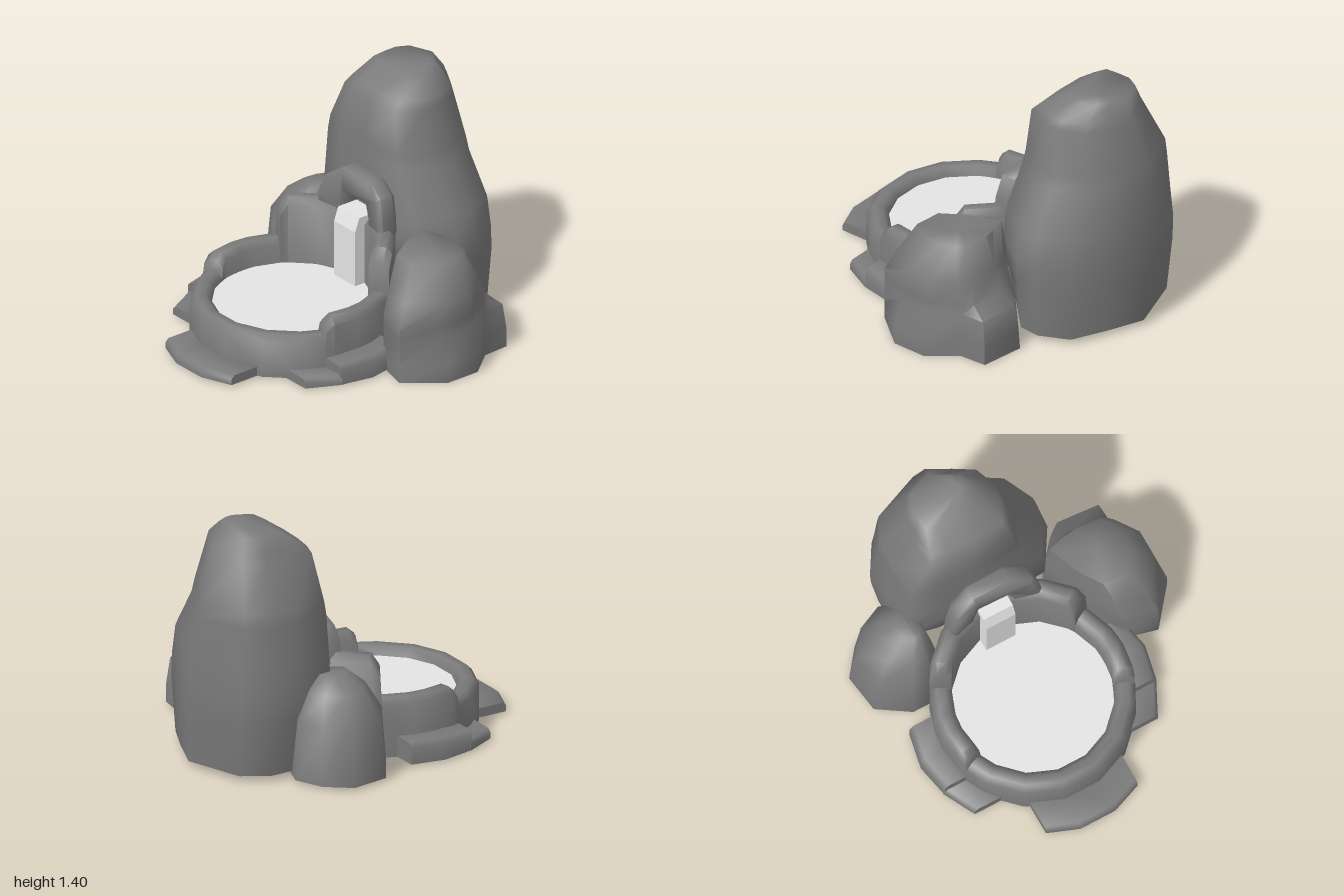
import * as THREE from 'three';
import { toCreasedNormals } from 'three/addons/utils/BufferGeometryUtils.js';

const CX = -0.11, CZ = 0.26; // basin centre

// Skin a list of cross-sections (arrays of [x, y, z]); wrap closes each one, caps fill the ends.
function loft(rings, { wrap = false, capStart = false, capEnd = false, crease = 1 } = {}) {
  const n = rings[0].length, pos = rings.flat(2), index = [];
  const cols = wrap ? n : n - 1;
  for (let i = 0; i < rings.length - 1; i++) {
    for (let j = 0; j < cols; j++) {
      const k = (j + 1) % n;
      const a = i * n + j, b = i * n + k, c = b + n, d = a + n;
      index.push(a, b, c, a, c, d);
    }
  }
  const cap = (r, flip) => {
    const centre = pos.length / 3, o = r * n;
    for (let k = 0; k < 3; k++) pos.push(rings[r].reduce((s, p) => s + p[k], 0) / n);
    for (let j = 0; j < n; j++) {
      const a = o + j, b = o + (j + 1) % n;
      index.push(centre, flip ? b : a, flip ? a : b);
    }
  };
  if (capStart) cap(0, true);
  if (capEnd) cap(rings.length - 1, false);
  const g = new THREE.BufferGeometry();
  g.setAttribute('position', new THREE.Float32BufferAttribute(pos, 3));
  g.setIndex(index);
  return toCreasedNormals(g, crease);
}

// Boulder skin: closed outlines stacked upward, open below.
const boulderSkin = rings => loft(rings, { wrap: true, capEnd: true, crease: 1.25 });

// Boulder: a footprint rescaled to [y, xMin, xMax, zMin, zMax] at each level.
// frontLift raises the lower edge of the front side, which rests on the basin.
function boulder(foot, levels, frontLift = 0) {
  const xs = foot.map(p => p[0]), zs = foot.map(p => p[1]);
  const x0 = Math.min(...xs), x1 = Math.max(...xs), z0 = Math.min(...zs), z1 = Math.max(...zs);
  return boulderSkin(levels.map(([y, a, b, c, d]) => foot.map(([x, z]) => {
    const v = (z - z0) / (z1 - z0);
    return [a + (b - a) * (x - x0) / (x1 - x0), v > 0.75 ? Math.max(y, frontLift) : y, c + (d - c) * v];
  })));
}

// Bevelled kerb section from inner radius over the top to outer radius.
const kerbSection = (rIn, rOut, top, bevel) => [[rIn, 0.015], [rIn, top - bevel], [rIn + bevel, top],
  [rOut - bevel, top], [rOut, top - bevel], [rOut, 0.015]];

// Round basin wall: stations are [degrees from the front, top height].
function wall(stations, rIn, rOut, bevel) {
  return loft(stations.map(([deg, top]) => {
    const t = THREE.MathUtils.degToRad(deg);
    return kerbSection(rIn, rOut, top, bevel).map(([r, y]) => [CX + r * Math.sin(t), y, CZ + r * Math.cos(t)]);
  }));
}

// Straight-sided step against the wall: stations are [sideways offset, outer distance, top height].
function step(stations, bevel) {
  return loft(stations.map(([u, d, top]) =>
    kerbSection(Math.sqrt(0.25 - u * u), d, top, bevel).map(([r, y]) => [u, y, r])), { capStart: true, capEnd: true });
}

export function createModel() {
  const stone = new THREE.MeshStandardMaterial({ name: 'stone grey', color: 0x7a7a7a, side: THREE.DoubleSide });
  const water = new THREE.MeshStandardMaterial({ name: 'pale water', color: 0xe4e4e4, side: THREE.DoubleSide });
  const model = new THREE.Group();
  model.name = 'rockFountain';
  const add = (name, geometry, material) => {
    const mesh = new THREE.Mesh(geometry, material);
    mesh.name = name;
    model.add(mesh);
    return mesh;
  };

  // Boulders
  add('tallBoulder', boulder(
    [[-0.6, -0.72], [-0.6, -0.55], [-0.58, -0.35], [-0.4, -0.31], [-0.1, -0.3], [0.28, -0.31],
      [0.4, -0.5], [0.41, -0.63], [0.32, -0.81], [0.1, -0.91], [-0.13, -1], [-0.5, -0.88]],
    [[0.04, -0.55, 0.38, -0.98, -0.31], [0.36, -0.59, 0.41, -1, -0.3], [0.5, -0.6, 0.41, -1, -0.29],
      [0.68, -0.58, 0.38, -0.99, -0.29], [0.92, -0.56, 0.23, -0.96, -0.3], [1.0, -0.55, 0.205, -0.95, -0.31],
      [1.25, -0.425, 0.14, -0.88, -0.32], [1.3, -0.4, 0.12, -0.855, -0.37],
      [1.385, -0.36, 0.01, -0.8, -0.5], [1.41, -0.1, -0.04, -0.72, -0.62]], 0.35), stone);

  // Side boulder with a low ledge behind: [height, outline]
  const leftOutlines = [
    [0.005, [[0.29, -0.35], [0.38, -0.13], [0.53, 0.13], [0.73, 0.18], [0.9, -0.03], [0.9, -0.24],
      [0.77, -0.4], [0.76, -0.56], [0.5, -0.6], [0.42, -0.52]]],
    [0.12, [[0.29, -0.35], [0.38, -0.13], [0.53, 0.13], [0.73, 0.18], [0.9, -0.03], [0.9, -0.24],
      [0.77, -0.4], [0.76, -0.56], [0.5, -0.59], [0.42, -0.51]]],
    [0.27, [[0.29, -0.35], [0.38, -0.13], [0.53, 0.13], [0.73, 0.18], [0.84, -0.03], [0.84, -0.24],
      [0.76, -0.4], [0.75, -0.54], [0.5, -0.56], [0.42, -0.5]]],
    [0.33, [[0.29, -0.34], [0.38, -0.13], [0.53, 0.13], [0.73, 0.18], [0.84, -0.04], [0.84, -0.24],
      [0.76, -0.39], [0.72, -0.45], [0.5, -0.45], [0.42, -0.44]]],
    [0.46, [[0.3, -0.34], [0.38, -0.13], [0.52, 0.09], [0.7, 0.12], [0.84, -0.06], [0.84, -0.23],
      [0.75, -0.36], [0.7, -0.41], [0.5, -0.42], [0.42, -0.41]]],
    [0.64, [[0.32, -0.32], [0.39, -0.14], [0.48, 0], [0.64, 0.02], [0.72, -0.1], [0.72, -0.22],
      [0.69, -0.3], [0.65, -0.34], [0.5, -0.36], [0.43, -0.35]]],
  ];
  add('leftBoulder', boulderSkin(leftOutlines.map(([y, pts]) => pts.map(([x, z]) => [x, y, z]))), stone);

  add('rightBoulder', boulder(
    [[-0.91, -0.4], [-0.88, -0.18], [-0.7, -0.06], [-0.58, -0.06], [-0.47, -0.2],
      [-0.48, -0.55], [-0.64, -0.61], [-0.8, -0.54]],
    [[0.02, -0.91, -0.46, -0.61, -0.05], [0.36, -0.87, -0.47, -0.58, -0.07],
      [0.51, -0.77, -0.49, -0.5, -0.15], [0.59, -0.64, -0.52, -0.42, -0.24]]), stone);

  // Basin wall, stepping up from front to back
  const half = [[11.25, 0.265], [33.75, 0.265], [56.25, 0.265], [69, 0.265], [70.5, 0.325], [75, 0.36],
    [90, 0.36], [101.25, 0.36], [119.5, 0.36], [120.5, 0.54], [126, 0.61], [146.25, 0.61], [168.75, 0.61]];
  const around = [...half, ...half.slice().reverse().map(([a, y]) => [360 - a, y]), [371.25, 0.265]];
  add('basinWall', wall(around, 0.45, 0.572, 0.035), stone);
  const floor = add('basinFloor', new THREE.CircleGeometry(0.455, 16, Math.PI / 16), stone);
  floor.rotation.x = Math.PI / 2;
  floor.position.set(CX, 0.1, CZ);

  // Low steps outside the basin
  const placeStep = (name, stations, bevel, turn) => {
    const mesh = add(name, step(stations, bevel), stone);
    mesh.position.set(CX, 0, CZ);
    mesh.rotation.y = turn;
  };
  placeStep('frontStep', [[-0.29, 0.67, 0.07], [-0.11, 0.74, 0.07], [0.11, 0.74, 0.07], [0.29, 0.67, 0.07]], 0.02, 0);
  for (const side of [1, -1]) {
    const name = side > 0 ? 'left' : 'right';
    const facing = list => list.map(([u, d, y]) => [-u * side, d, y]).sort((p, q) => p[0] - q[0]);
    const turn = side * Math.PI / 2;
    placeStep(name + 'LowStep', facing([[0.19, 0.675, 0.075], [0.38, 0.58, 0.07]]), 0.02, turn);
    placeStep(name + 'HighStep', facing([[-0.2, 0.67, 0.14], [0, 0.71, 0.14], [0.2, 0.67, 0.13]]), 0.025, turn);
  }

  // Spout arch, bent to follow the wall
  const archShape = new THREE.Shape([[-0.4, 0.55], [-0.39, 0.66], [-0.35, 0.76], [-0.23, 0.845],
    [0.0, 0.845], [0.13, 0.79], [0.17, 0.66], [0.18, 0.55], [0.0, 0.55], [-0.005, 0.62], [-0.03, 0.69],
    [-0.19, 0.69], [-0.215, 0.62], [-0.22, 0.55]].map(p => new THREE.Vector2(...p)));
  const arch = new THREE.ExtrudeGeometry(archShape, {
    depth: 0.08, bevelEnabled: true, bevelSize: 0.025, bevelOffset: -0.025, bevelThickness: 0.025, bevelSegments: 1 });
  const p = arch.attributes.position;
  for (let i = 0; i < p.count; i++) p.setZ(i, p.getZ(i) - 0.295 + 0.75 * (p.getX(i) - CX) ** 2);
  add('spoutArch', toCreasedNormals(arch, 0.9), stone);

  // Pool surface and falling stream
  const pool = add('poolWater', new THREE.CircleGeometry(0.455, 16, Math.PI / 16), water);
  pool.rotation.x = -Math.PI / 2;
  pool.position.set(CX, 0.215, CZ);

  const streamPath = [[-0.27, 0.63], [-0.14, 0.63], [-0.11, 0.55], [-0.11, 0.21], [-0.2, 0.21], [-0.27, 0.55]];
  const streamRings = [-0.015, -0.2].map(x => streamPath.map(([z, y]) => [x, y, z]));
  add('waterStream', loft(streamRings, { wrap: true, capStart: true, capEnd: true, crease: 0.1 }), water);

  return model;
}
